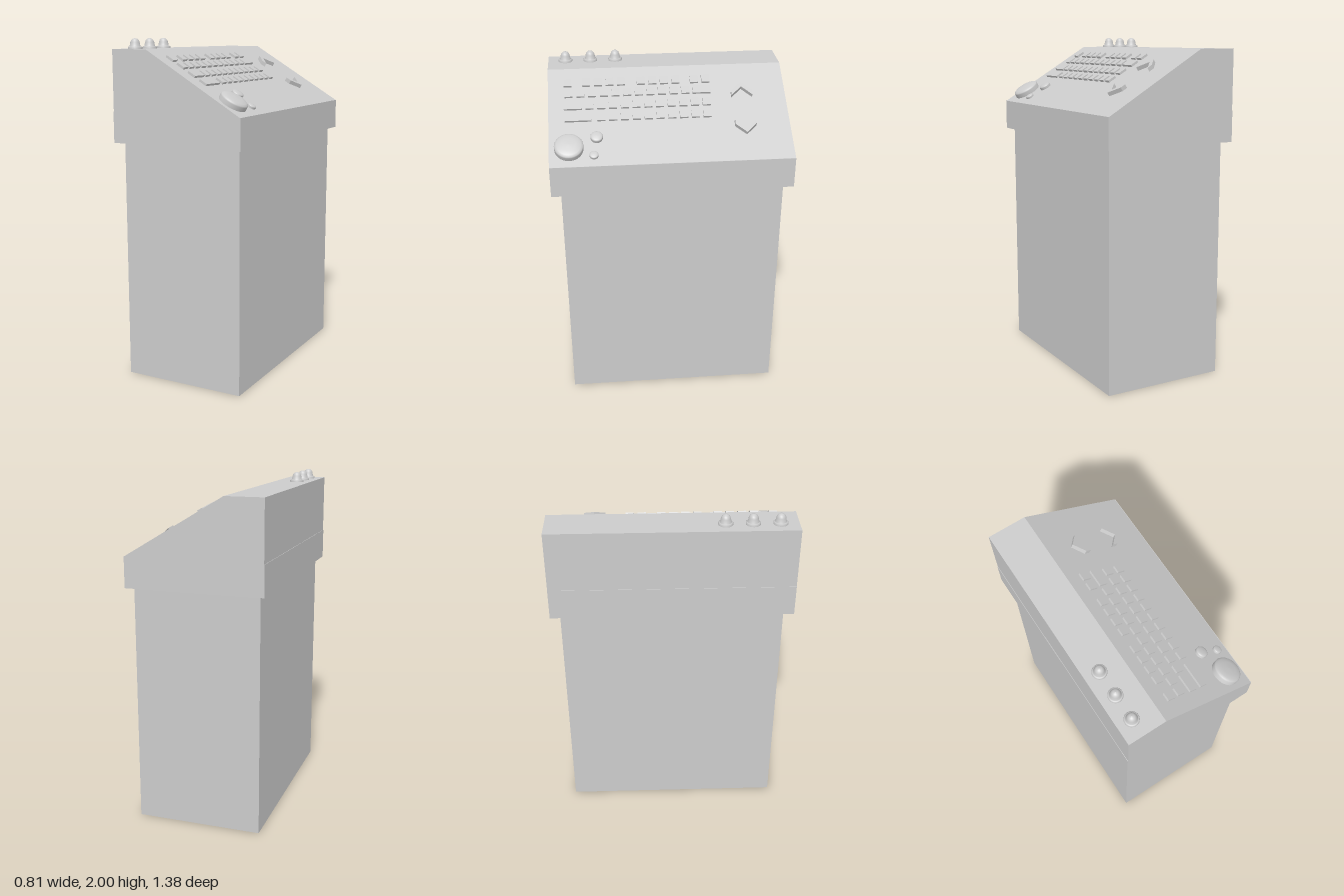
import * as THREE from 'three';

const material = new THREE.MeshStandardMaterial({ color: 0xcccccc });

function add(parent, name, geometry, x = 0, y = 0, z = 0) {
  const mesh = new THREE.Mesh(geometry, material);
  mesh.name = name;
  mesh.position.set(x, y, z);
  parent.add(mesh);
  return mesh;
}

const points = (list) => list.map(([x, y]) => new THREE.Vector2(x, y));

// Domed push button with a short straight rim
function buttonGeometry(r, h) {
  return new THREE.LatheGeometry(points([
    [r, -0.005], [r, h * 0.55], [r * 0.96, h * 0.7], [r * 0.82, h * 0.86], [r * 0.5, h * 0.97], [0, h],
  ]), 32);
}

export function createModel() {
  const model = new THREE.Group();
  model.name = 'controlConsole';

  // Pedestal and the wider collar on it
  add(model, 'pedestal', new THREE.BoxGeometry(0.745, 1.41, 1.27), 0.002, 0.705, 0);
  add(model, 'collar', new THREE.BoxGeometry(0.815, 0.18, 1.38), 0, 1.5, 0);

  // Wedge-shaped head, sloping down towards +x
  const top = { x: -0.18, y: 1.94 };
  const foot = { x: 0.405, y: 1.59 };
  const profile = new THREE.Shape(points([
    [-0.405, 1.59], [foot.x, foot.y], [top.x, top.y], [-0.405, 1.94],
  ]));
  const head = new THREE.ExtrudeGeometry(profile, { depth: 1.38, bevelEnabled: false });
  add(model, 'head', head, 0, 0, -0.69);

  // Sloped panel frame: local x runs down the slope, local y points out of it
  const angle = Math.atan2(top.y - foot.y, foot.x - top.x);
  const panel = new THREE.Group();
  panel.name = 'slopedPanel';
  panel.position.set(top.x, top.y, 0);
  panel.rotation.z = -angle;
  model.add(panel);
  const along = (x) => (x - top.x) / Math.cos(angle);

  // Keyboard rows: centre positions of square keys plus an optional wide key
  const run = (start, count) => Array.from({ length: count }, (_, i) => start + i * 0.0677);
  const rows = [
    { x: -0.086, keys: [-0.23, -0.162, ...run(-0.053, 4), ...run(0.265, 4), 0.576] },
    { x: -0.02, keys: run(-0.105, 11), wide: [-0.2, 0.104] },
    { x: 0.055, keys: run(-0.222, 11), wide: [0.549, 0.104] },
    { x: 0.126, keys: run(-0.219, 10), wide: [0.523, 0.152] },
  ];
  const addKey = (x, z, length) =>
    add(panel, 'key', new THREE.BoxGeometry(0.05, 0.018, length), along(x), 0.004, z);
  for (const { x, keys, wide } of rows) {
    keys.forEach((z) => addKey(x, z, 0.046));
    if (wide) addKey(x, wide[0], wide[1]);
  }

  // Pair of arrow keys pointing up and down the slope
  for (const [name, x, dir] of [['upArrowKey', -0.008, -1], ['downArrowKey', 0.218, 1]]) {
    const outline = [[0.045, 0], [-0.013, 0.061], [-0.047, 0.061], [0.013, 0], [-0.047, -0.061], [-0.013, -0.061]];
    const shape = new THREE.Shape(points(outline.map(([a, b]) => [a * dir, b])));
    const arrow = new THREE.ExtrudeGeometry(shape, { depth: 0.027, bevelEnabled: false });
    arrow.rotateX(-Math.PI / 2);
    add(panel, name, arrow, along(x), -0.003, -0.432);
  }

  // Round buttons in the lower corner
  add(panel, 'largeButton', buttonGeometry(0.082, 0.045), along(0.3), 0, 0.578);
  add(panel, 'mediumButton', buttonGeometry(0.035, 0.025), along(0.244), 0, 0.421);
  add(panel, 'smallButton', buttonGeometry(0.025, 0.018), along(0.345), 0, 0.44);

  // Indicator lamps on the flat top, each with a flange and domed cap
  const lamp = new THREE.LatheGeometry(points([
    [0.041, -0.005], [0.041, 0.01], [0.036, 0.014], [0.031, 0.014], [0.027, 0.036],
    [0.022, 0.049], [0.013, 0.057], [0, 0.06],
  ]), 24);
  for (const z of [0.289, 0.438, 0.587]) add(model, 'indicatorLamp', lamp, -0.32, 1.94, z);

  return model;
}
